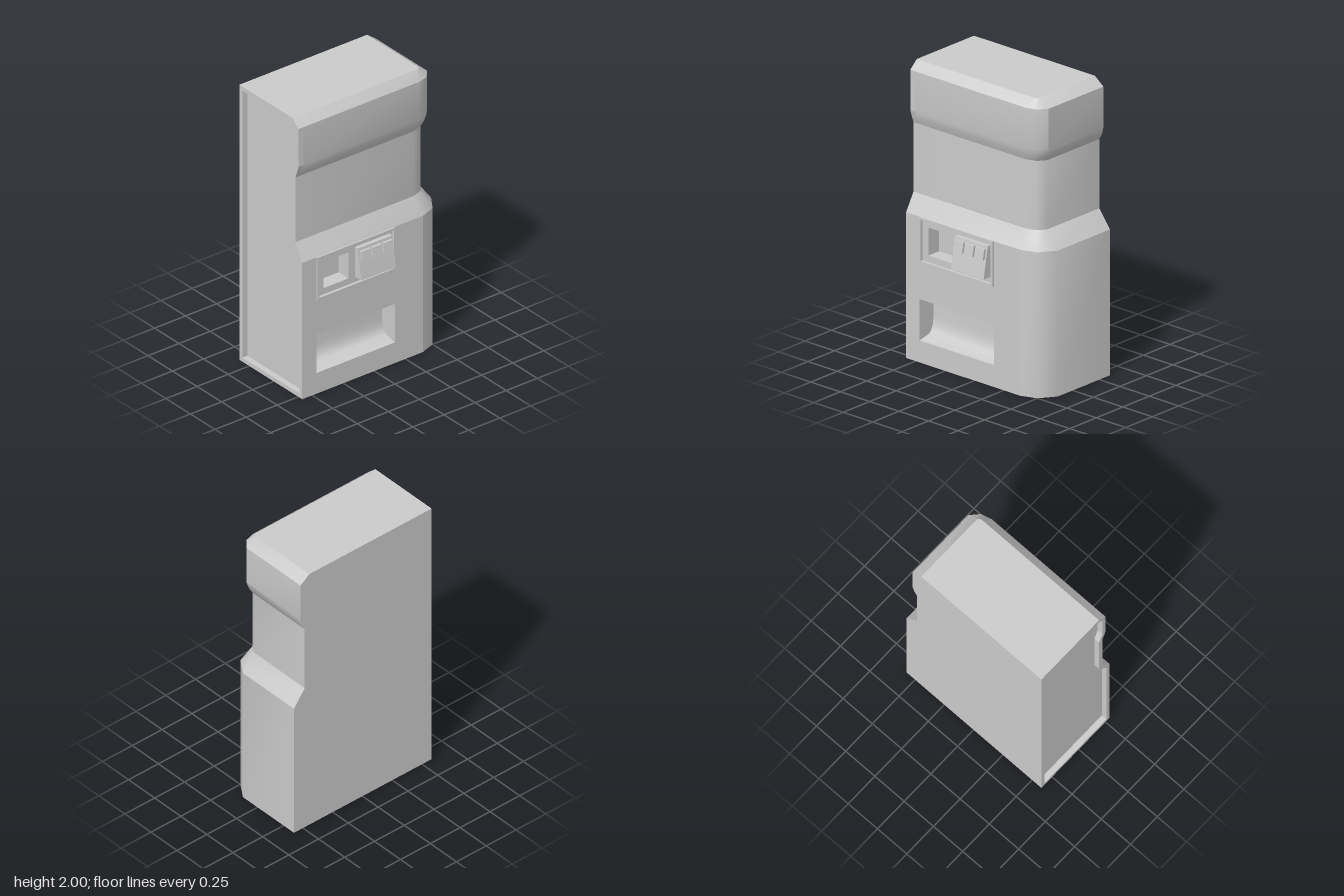
import * as THREE from 'three';
import { toCreasedNormals } from 'three/addons/utils/BufferGeometryUtils.js';

const LEFT = -0.58, INNER = -0.54, BACK = -0.35, FRONT = 0.29;
const material = new THREE.MeshStandardMaterial({ color: 0xcccccc, side: THREE.DoubleSide });

function add(parent, name, geometry) {
  const mesh = new THREE.Mesh(geometry, material);
  mesh.name = name;
  parent.add(mesh);
  return mesh;
}

// Skin between rows of equally many [x, y, z] points
function loft(rows) {
  const n = rows[0].length, index = [];
  for (let r = 0; r < rows.length - 1; r++) {
    for (let i = 0; i < n - 1; i++) {
      const a = r * n + i, b = a + 1, c = a + n, d = c + 1;
      index.push(a, b, d, a, d, c);
    }
  }
  const g = new THREE.BufferGeometry();
  g.setAttribute('position', new THREE.Float32BufferAttribute(rows.flat(2), 3));
  g.setIndex(index);
  return toCreasedNormals(g, 0.72);
}

const toShape = (pts) => new THREE.Shape(pts.map(([x, y]) => new THREE.Vector2(x, y)));
const rect = (x0, x1, y0, y1) => [[x0, y0], [x1, y0], [x1, y1], [x0, y1]];

function withHoles(outer, ...holes) {
  const s = toShape(outer);
  s.holes = holes.map(toShape);
  return s;
}

// A [z, y] shape extruded along x from x0 to x1
function prism(shape, x0, x1) {
  return new THREE.ExtrudeGeometry(shape, { depth: x1 - x0, bevelEnabled: false })
    .rotateY(-Math.PI / 2).translate(x1, 0, 0);
}

// A hollow from an open [z, y] profile running from its top edge to its bottom edge
function pocket(parent, name, x0, x1, profile) {
  const group = new THREE.Group();
  group.name = name;
  add(group, 'pocketLining', loft([x0, x1].map((x) => profile.map(([z, y]) => [x, y, z]))));
  for (const x of [x0, x1]) {
    add(group, 'pocketSide', new THREE.ShapeGeometry(toShape(profile)).rotateY(-Math.PI / 2).translate(x, 0, 0));
  }
  parent.add(group);
}

// Horizontal outline: y, then the three points of the rounded front corner as [x, z]
const levels = {
  base: [0, [0.39, 0.29], [0.50, 0.25], [0.575, 0.14]],
  shoulder: [0.99, [0.39, 0.29], [0.50, 0.25], [0.575, 0.14]],
  waistLow: [1.11, [0.37, 0.22], [0.445, 0.195], [0.485, 0.14]],
  waistHigh: [1.58, [0.37, 0.22], [0.445, 0.195], [0.485, 0.14]],
  flare: [1.62, [0.38, 0.235], [0.458, 0.213], [0.508, 0.155]],
  headLow: [1.67, [0.39, 0.25], [0.465, 0.23], [0.52, 0.17]],
  headHigh: [1.945, [0.39, 0.25], [0.465, 0.23], [0.52, 0.17]],
  top: [2, [0.425, 0.19], [0.438, 0.183], [0.447, 0.17]],
};

function outline([y, a, b, c]) {
  const pts = [[INNER, a[1]], a, b, c, [c[0], BACK], [INNER, BACK]];
  return pts.map(([x, z]) => [x, y, z]);
}

export function createModel() {
  const model = new THREE.Group();
  model.name = 'vendingMachine';
  const L = levels;

  // Cabinet skin, band by band; the flat lower front is made separately
  const bands = {
    shoulderSlope: [L.shoulder, L.waistLow],
    waist: [L.waistLow, L.waistHigh],
    head: [L.waistHigh, L.flare, L.headLow, L.headHigh],
    topBevel: [L.headHigh, L.top],
  };
  add(model, 'lowerCabinet', loft([L.base, L.shoulder].map((l) => outline(l).slice(1))));
  for (const [name, rows] of Object.entries(bands)) add(model, name, loft(rows.map(outline)));
  for (const [name, level] of [['bottomPlate', L.base], ['topPlate', L.top]]) {
    const flat = outline(level).map(([x, , z]) => [x, z]);
    add(model, name, new THREE.ShapeGeometry(toShape(flat)).rotateX(Math.PI / 2).translate(0, level[0], 0));
  }

  // Lower front with openings for the control panel and the delivery tray
  const panelHole = rect(-0.45, 0.15, 0.695, 0.975);
  const trayHole = rect(-0.465, 0.165, 0.15, 0.43);
  add(model, 'lowerFront', new THREE.ShapeGeometry(
    withHoles(rect(INNER, 0.39, 0, 0.99), panelHole, trayHole)).translate(0, 0, FRONT));

  // Raised rim around the recessed side
  const edge = Object.values(L).map(([y, a]) => [a[1], y]);
  const shift = [0.03, -0.01, -0.01, 0.01, 0.01, 0.01, -0.012, -0.03];
  const inset = edge.map(([z, y], i) => [z - (i === 7 ? 0.015 : 0.03), y + shift[i]]);
  const rimOuter = [[BACK, 0], ...edge, [BACK, 2]];
  const rimInner = [[BACK + 0.03, 0.03], ...inset, [BACK + 0.03, 1.97]];
  add(model, 'sideRim', prism(withHoles(rimOuter, rimInner), LEFT, INNER));
  add(model, 'sidePanel', new THREE.ShapeGeometry(toShape(rimInner)).rotateY(-Math.PI / 2).translate(INNER, 0, 0));

  // Delivery tray with a curved foot
  pocket(model, 'deliveryTray', -0.465, 0.165,
    [[FRONT, 0.43], [0.16, 0.43], [0.16, 0.27], [0.167, 0.22], [0.18, 0.19], [0.2, 0.17], [FRONT, 0.15]]);

  // Control panel: frame, floor, coin pocket, sloped keypad
  const panel = new THREE.Group();
  panel.name = 'controlPanel';
  model.add(panel);
  const floorZ = 0.28;
  add(panel, 'panelFrame', new THREE.ExtrudeGeometry(
    withHoles(rect(-0.465, 0.165, 0.68, 0.99), panelHole),
    { depth: 0.02, bevelEnabled: false }).translate(0, 0, floorZ));
  add(panel, 'panelFloor', new THREE.ShapeGeometry(
    withHoles(panelHole, rect(-0.40, -0.20, 0.74, 0.93))).translate(0, 0, floorZ));
  pocket(panel, 'coinPocket', -0.40, -0.20, [[floorZ, 0.93], [0.18, 0.93], [0.18, 0.74], [floorZ, 0.74]]);
  add(panel, 'keypad', prism(
    toShape([[floorZ, 0.735], [0.347, 0.735], [0.308, 0.95], [floorZ, 0.95]]), -0.147, 0.13));
  for (const x of [-0.097, -0.009, 0.08]) {
    add(panel, 'button', prism(
      toShape([[0.31, 0.86], [0.341, 0.86], [0.328, 0.93], [0.3, 0.93]]), x - 0.038, x + 0.038));
  }
  return model;
}
